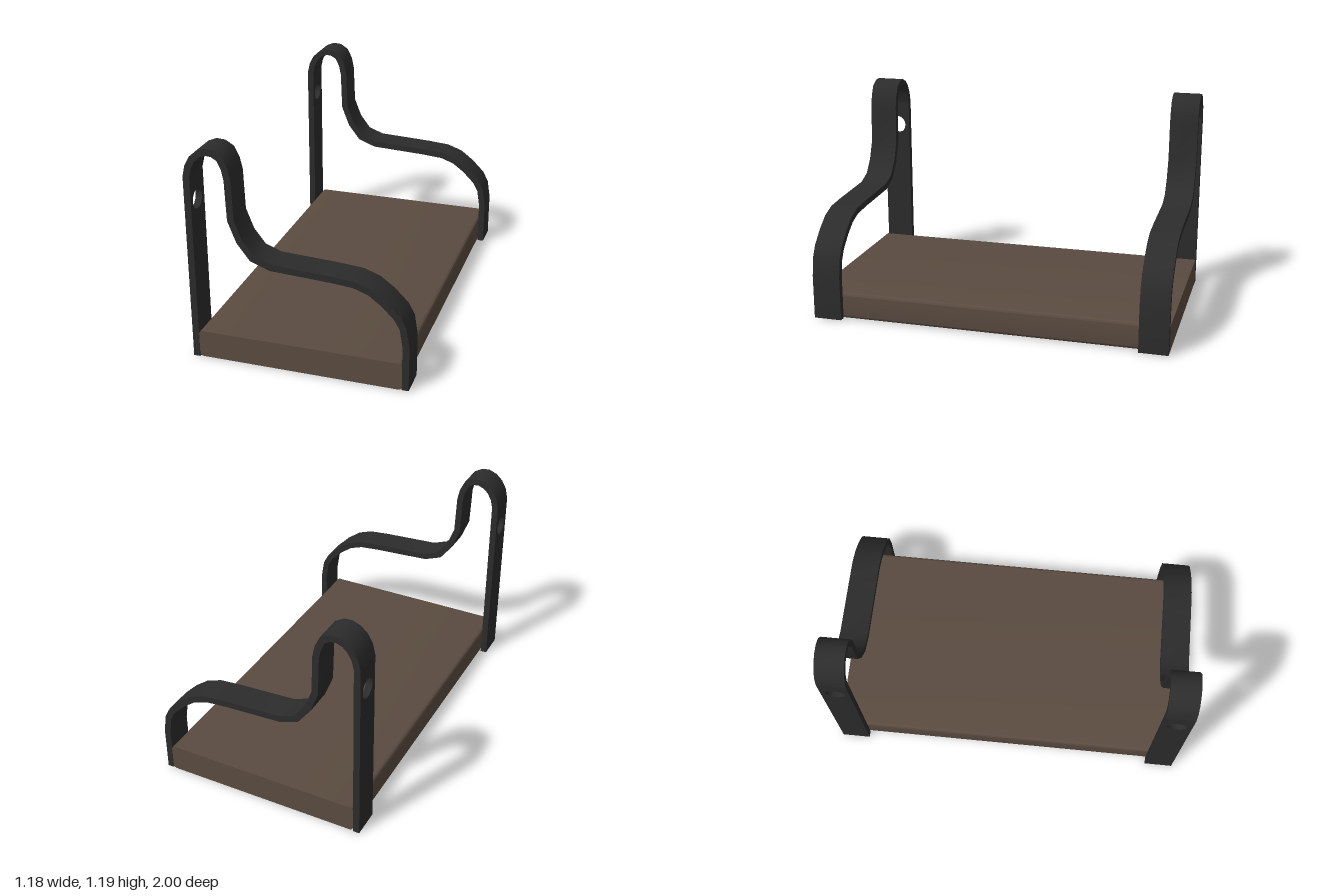
import * as THREE from 'three';
import { toCreasedNormals } from 'three/addons/utils/BufferGeometryUtils.js';

const STRAP_WIDTH = 0.16;
const THICK = 0.036;
const BACK_X = -0.575;
const BEND_Y = 1.03;

// Centre line of the bent strap, from the top of the back upright to the front foot
const PATH = [
  [BACK_X, BEND_Y], [-0.562, 1.086], [-0.537, 1.13], [-0.506, 1.158], [-0.467, 1.174],
  [-0.429, 1.171], [-0.391, 1.149], [-0.366, 1.098], [-0.353, 1.038], [-0.345, 0.822],
  [-0.301, 0.71], [-0.236, 0.626], [-0.141, 0.59], [0.176, 0.574], [0.303, 0.563],
  [0.385, 0.534], [0.458, 0.48], [0.528, 0.41], [0.558, 0.353], [0.574, 0.252], [0.574, 0.005],
].map(([x, y]) => new THREE.Vector2(x, y));

// Offsets a polyline sideways with mitred joints
function offsetLine(points, d) {
  const normal = (a, b) => {
    const t = b.clone().sub(a).normalize();
    return new THREE.Vector2(-t.y, t.x);
  };
  return points.map((p, i) => {
    const last = points.length - 1;
    if (i === 0) return p.clone().add(new THREE.Vector2(-d, 0));
    if (i === last) return p.clone().addScaledVector(normal(points[i - 1], p), d);
    const n = normal(points[i - 1], p);
    const m = n.clone().add(normal(p, points[i + 1])).normalize();
    return p.clone().addScaledVector(m, d / m.dot(n));
  });
}

function extrude(shape, depth) {
  const g = new THREE.ExtrudeGeometry(shape, { depth, bevelEnabled: false, curveSegments: 10 });
  return g.translate(0, 0, -depth / 2);
}

function createStrap(material) {
  const strap = new THREE.Group();

  // Curved ribbon
  const h = THICK / 2;
  const outline = [...offsetLine(PATH, h), ...offsetLine(PATH, -h).reverse()];
  const ribbonGeo = toCreasedNormals(extrude(new THREE.Shape(outline), STRAP_WIDTH), 0.6);
  const ribbon = new THREE.Mesh(ribbonGeo, material);
  ribbon.name = 'curvedStrap';

  // Flat back upright with a screw hole
  const w = STRAP_WIDTH / 2;
  const panel = new THREE.Shape([[-w, 0], [w, 0], [w, BEND_Y], [-w, BEND_Y]]
    .map(([x, y]) => new THREE.Vector2(x, y)));
  const hole = new THREE.Path();
  hole.absarc(0, 0.885, 0.055, 0, Math.PI * 2, true);
  panel.holes.push(hole);
  const uprightGeo = toCreasedNormals(extrude(panel, THICK), 0.7);
  const upright = new THREE.Mesh(uprightGeo, material);
  upright.name = 'backUpright';
  upright.rotation.y = Math.PI / 2;
  upright.position.x = BACK_X;

  strap.add(ribbon, upright);
  return strap;
}

// Plank with softly rounded long edges
function createBoard(material) {
  const x = 0.556, y0 = 0.004, y1 = 0.156, r = 0.02;
  const s = new THREE.Shape();
  s.absarc(x - r, y0 + r, r, -Math.PI / 2, 0, false);
  s.absarc(x - r, y1 - r, r, 0, Math.PI / 2, false);
  s.absarc(-x + r, y1 - r, r, Math.PI / 2, Math.PI, false);
  s.absarc(-x + r, y0 + r, r, Math.PI, Math.PI * 1.5, false);
  s.closePath();
  const board = new THREE.Mesh(toCreasedNormals(extrude(s, 2), 0.6), material);
  board.name = 'shelfBoard';
  return board;
}

export function createModel() {
  const metal = new THREE.MeshStandardMaterial({ color: 0x2c2c2c });
  metal.name = 'blackMetal';
  const wood = new THREE.MeshStandardMaterial({ color: 0x5a4b40 });
  wood.name = 'darkWood';

  const model = new THREE.Group();
  model.name = 'shelf';
  model.add(createBoard(wood));

  // A strap at each end of the board
  for (const side of [1, -1]) {
    const strap = createStrap(metal);
    strap.name = side > 0 ? 'frontBracket' : 'backBracket';
    strap.position.z = side * (1 - STRAP_WIDTH / 2);
    model.add(strap);
  }
  return model;
}
